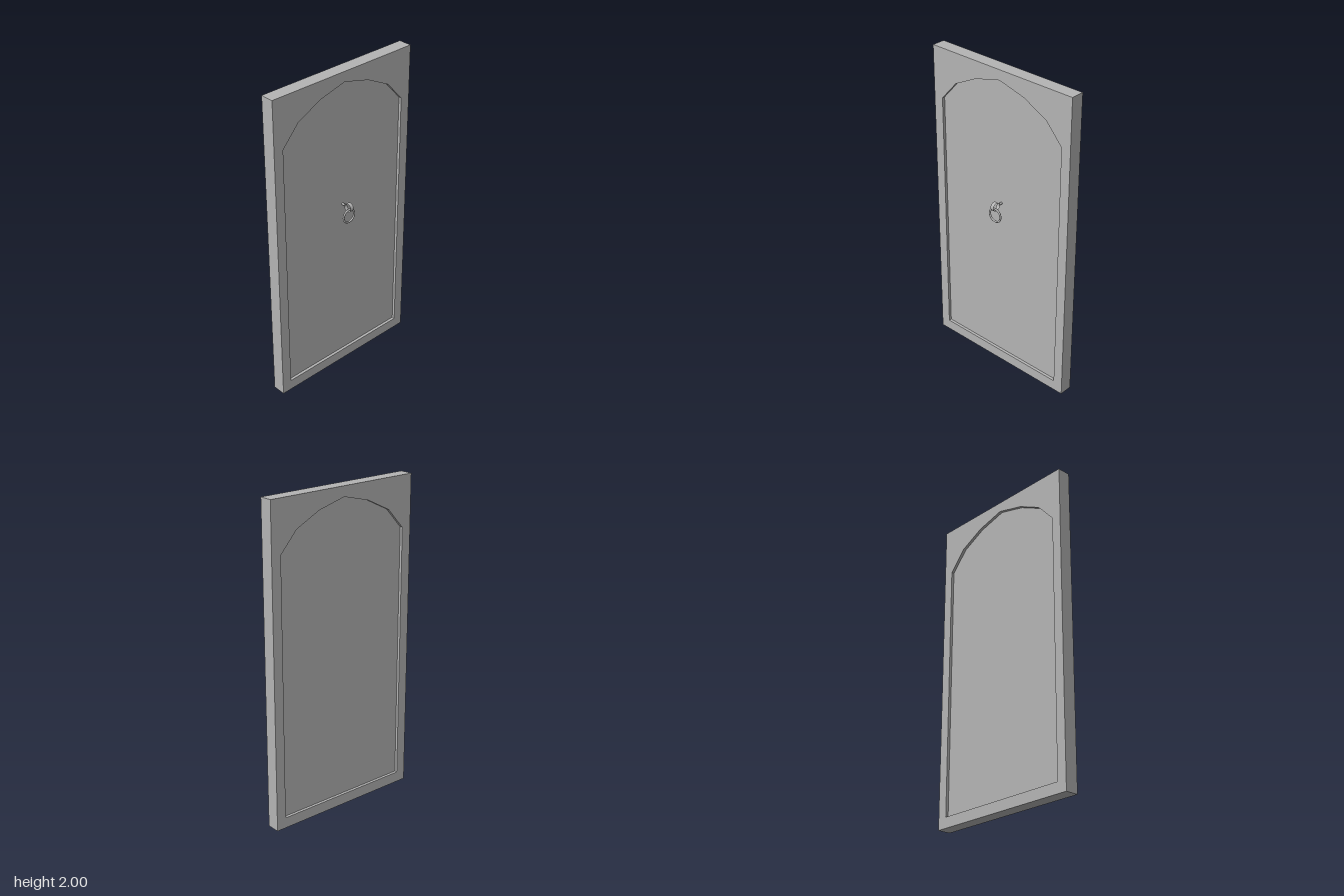
import * as THREE from 'three';

export function createModel() {
  const group = new THREE.Group();
  group.name = 'door';
  const grey = new THREE.MeshStandardMaterial({ color: 0xb4b4b4 });
  grey.name = 'grey';
  const greySheet = new THREE.MeshStandardMaterial({ color: 0xb4b4b4, side: THREE.DoubleSide });
  greySheet.name = 'grey sheet';

  const add = (name, geometry, x, y, z, material = grey) => {
    const mesh = new THREE.Mesh(geometry, material);
    mesh.name = name;
    mesh.position.set(x, y, z);
    group.add(mesh);
    return mesh;
  };

  const back = -0.076, front = 0.008, recess = 0.018;

  // Arched outline of the sunken panel, mirrored about the centre
  const half = [[0.452, 0.067], [0.452, 1.685], [0.34, 1.81], [0.18, 1.89]];
  const outline = [
    ...half, [0, 1.937],
    ...half.slice().reverse().map(([x, y]) => [-x, y]),
  ].map(([x, y]) => new THREE.Vector2(x, y));

  // Frame with the arched opening
  const frame = new THREE.Shape([
    [-0.515, 0], [0.515, 0], [0.515, 2], [-0.515, 2],
  ].map(([x, y]) => new THREE.Vector2(x, y)));
  frame.holes.push(new THREE.Path(outline));
  add('doorFrame', new THREE.ExtrudeGeometry(frame, { depth: front - back, bevelEnabled: false }), 0, 0, back);

  // Panel set back on both faces
  add('doorPanel', new THREE.ExtrudeGeometry(new THREE.Shape(outline),
    { depth: front - back - 2 * recess, bevelEnabled: false }), 0, 0, back + recess);

  // Knocker: stub, open hoop and hanging ring
  const hoopY = 1.147, hoopZ = 0.045, hoopR = 0.027;
  const stubStart = front - recess - 0.004, stubEnd = hoopZ - hoopR + 0.002;
  const stub = add('knockerStub', new THREE.CylinderGeometry(0.007, 0.007, stubEnd - stubStart, 16),
    0, hoopY, (stubStart + stubEnd) / 2);
  stub.rotation.x = Math.PI / 2;
  const hoop = add('knockerHoop', new THREE.CylinderGeometry(hoopR, hoopR, 0.023, 32, 1, true),
    0, hoopY, hoopZ, greySheet);
  hoop.rotation.z = Math.PI / 2;
  add('knockerRing', new THREE.TorusGeometry(0.042, 0.006, 12, 40), 0, 1.088, hoopZ);

  return group;
}
